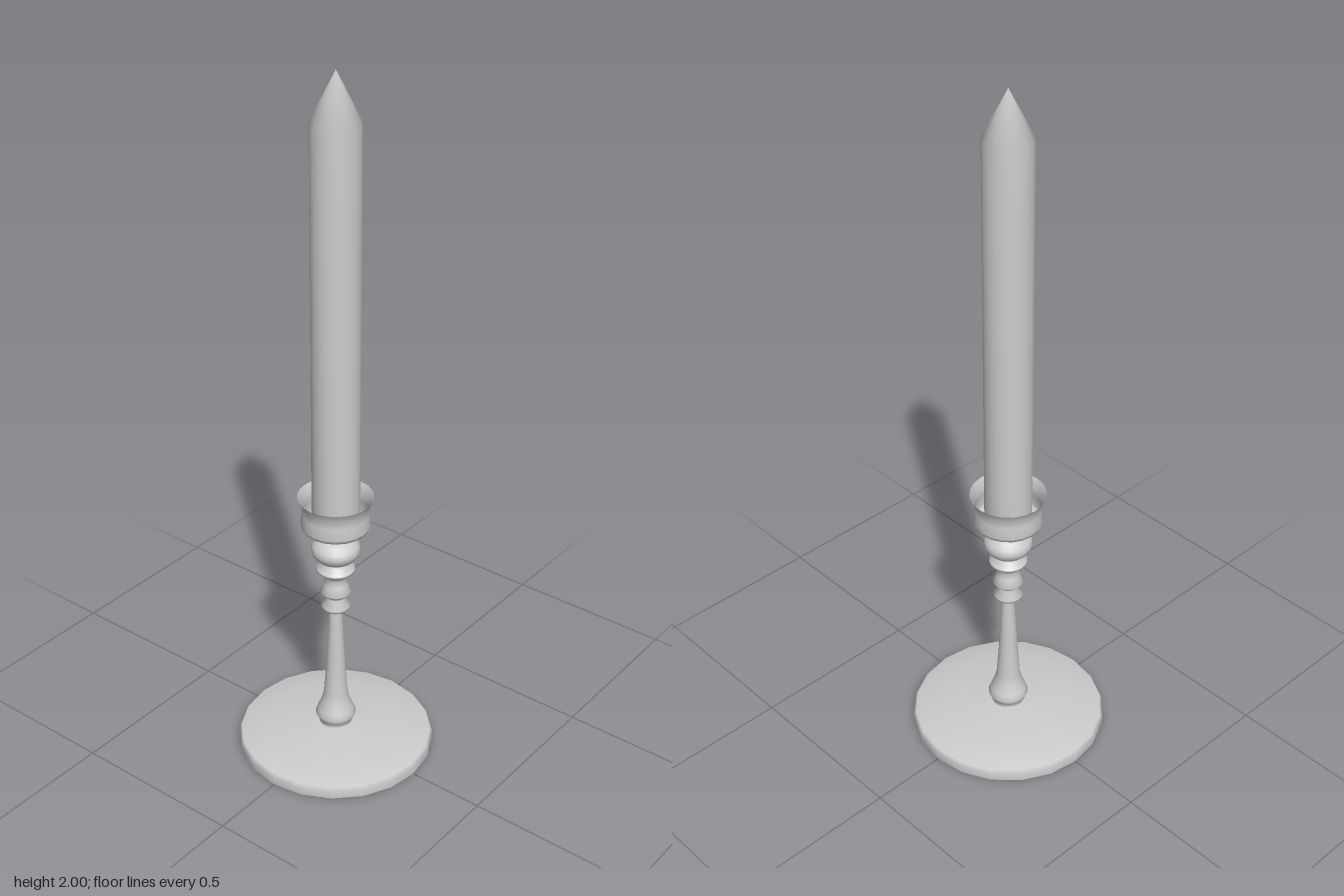
import * as THREE from 'three';
import { mergeVertices } from 'three/addons/utils/BufferGeometryUtils.js';

const SIDES = 20;
const material = new THREE.MeshStandardMaterial({ color: 0xcccccc, side: THREE.DoubleSide });

// Turns a profile of [radius, height] points, listed from bottom to top,
// into a thin smooth shell
function turned(name, profile) {
  const points = profile.map(([r, y]) => new THREE.Vector2(r, y));
  const lathe = new THREE.LatheGeometry(points, SIDES);
  lathe.deleteAttribute('uv');
  lathe.deleteAttribute('normal');
  const geometry = mergeVertices(lathe);
  geometry.computeVertexNormals();
  const mesh = new THREE.Mesh(geometry, material);
  mesh.name = name;
  return mesh;
}

export function createModel() {
  const model = new THREE.Group();
  model.name = 'candlestick';

  // Wide shallow foot, hollow and open underneath
  model.add(turned('base', [
    [0.28, 0], [0.281, 0.025], [0.274, 0.034], [0.2, 0.046], [0.12, 0.054], [0.048, 0.06],
  ]));

  // Hollow tapered stem with its swollen foot
  model.add(turned('stem', [
    [0.048, 0.06], [0.044, 0.066], [0.053, 0.08], [0.058, 0.092], [0.052, 0.108],
    [0.041, 0.135], [0.034, 0.165], [0.028, 0.25], [0.018, 0.45],
  ]));

  // Two flared collars and a thin disc
  model.add(turned('collars', [
    [0.018, 0.45], [0.035, 0.453], [0.041, 0.464], [0.024, 0.49], [0.034, 0.5],
    [0.044, 0.512], [0.033, 0.535], [0.03, 0.555], [0.036, 0.57], [0.053, 0.581],
    [0.053, 0.587], [0.036, 0.6], [0.033, 0.616],
  ]));

  // Round bead
  model.add(turned('bead', [
    [0.033, 0.616], [0.052, 0.62], [0.065, 0.634], [0.069, 0.649],
    [0.065, 0.664], [0.052, 0.677], [0.036, 0.684],
  ]));

  // Thin-walled cup with a flaring rim
  model.add(turned('cup', [
    [0.036, 0.684], [0.041, 0.694], [0.068, 0.709], [0.092, 0.72], [0.097, 0.732],
    [0.093, 0.765], [0.092, 0.79], [0.106, 0.815],
  ]));

  // Candle with a pointed tip, standing on the cup floor
  model.add(turned('candle', [[0.066, 0.708], [0.066, 1.87], [0, 2]]));

  return model;
}
